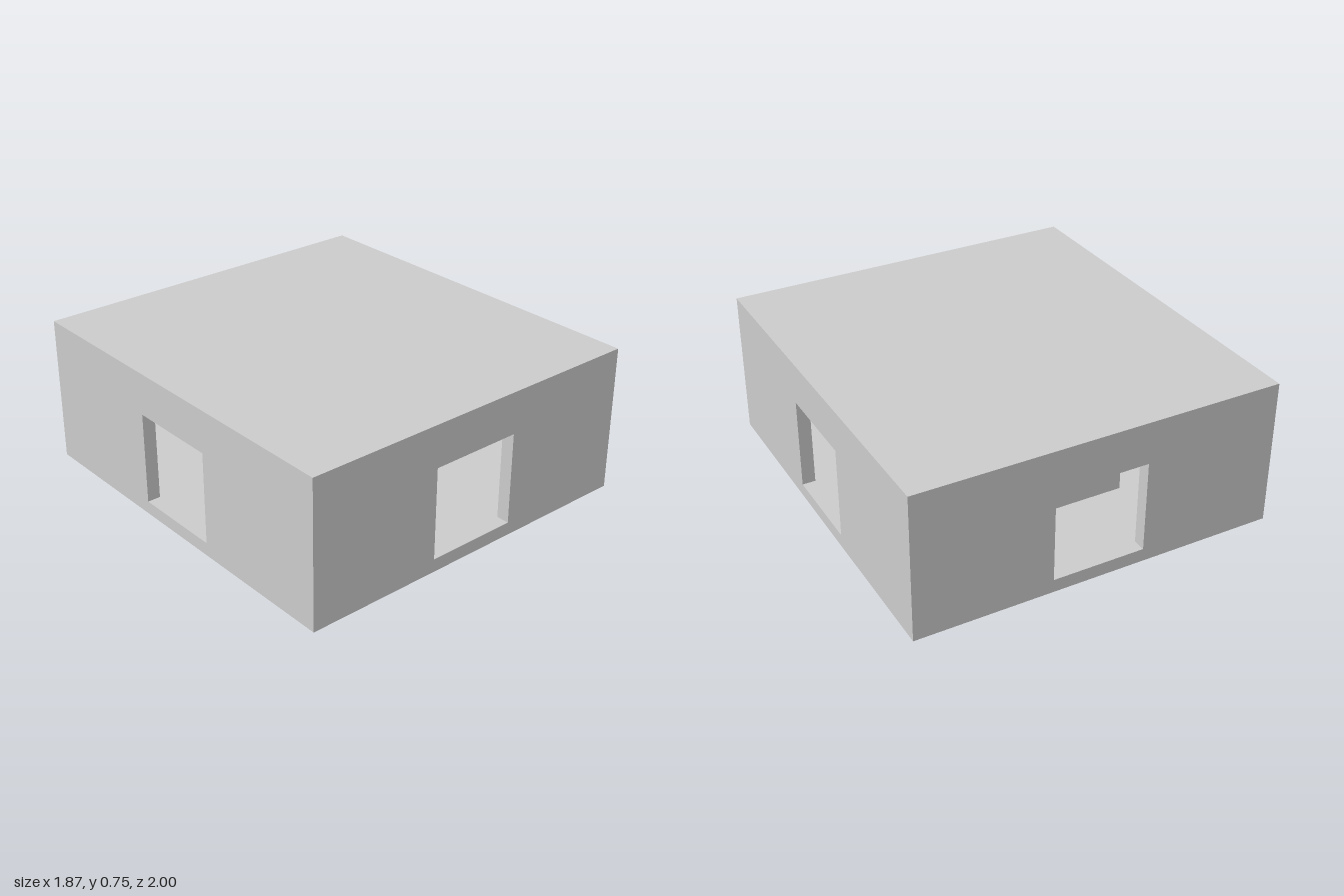
import * as THREE from 'three';

const W = 1.87, D = 2, H = 0.75, T = 0.067; // outer size and wall thickness

export function createModel() {
  const group = new THREE.Group();
  const material = new THREE.MeshStandardMaterial({ color: 0xcccccc, flatShading: true });

  const add = (name, geometry) => {
    const mesh = new THREE.Mesh(geometry, material);
    mesh.name = name;
    group.add(mesh);
    return mesh;
  };

  // Box given by its extents on each axis
  const slab = (name, x0, x1, y0, y1, z0, z1) =>
    add(name, new THREE.BoxGeometry(x1 - x0, y1 - y0, z1 - z0)
      .translate((x0 + x1) / 2, (y0 + y1) / 2, (z0 + z1) / 2));

  // Outer wall with a square opening, from floor top to roof underside
  const wall = (name, width, angle, distance) => {
    const w = width / 2, o = 0.238, top = 0.535;
    const shape = new THREE.Shape();
    // the sill is level with the floor, so the opening is cut from the lower edge
    [[-w, T], [-o, T], [-o, top], [o, top], [o, T], [w, T], [w, H - T], [-w, H - T]]
      .forEach(([x, y], i) => (i ? shape.lineTo(x, y) : shape.moveTo(x, y)));
    shape.closePath();
    const geometry = new THREE.ExtrudeGeometry(shape, { depth: T, bevelEnabled: false });
    geometry.translate(0, 0, distance - T).rotateY(angle);
    add(name, geometry);
  };

  // Floor and flat roof
  slab('floor', -W / 2, W / 2, 0, T, -D / 2, D / 2);
  slab('roof', -W / 2, W / 2, H - T, H, -D / 2, D / 2);

  // Four outer walls
  wall('frontWall', W, 0, D / 2);
  wall('backWall', W, Math.PI, D / 2);
  wall('leftWall', D - 2 * T, Math.PI / 2, W / 2);
  wall('rightWall', D - 2 * T, -Math.PI / 2, W / 2);

  // Inner partitions forming a room open towards the right wall
  const partition = (name, x0, x1, z0, z1) => slab(name, x0, x1, T, H - T, z0, z1);
  partition('leftPartition', 0.5, 0.567, -0.533, 0.41);
  partition('backPartition', -0.413, 0.5, -0.533, -0.466);
  partition('frontPartition', -W / 2 + T, 0.5, 0.343, 0.41);

  return group;
}
